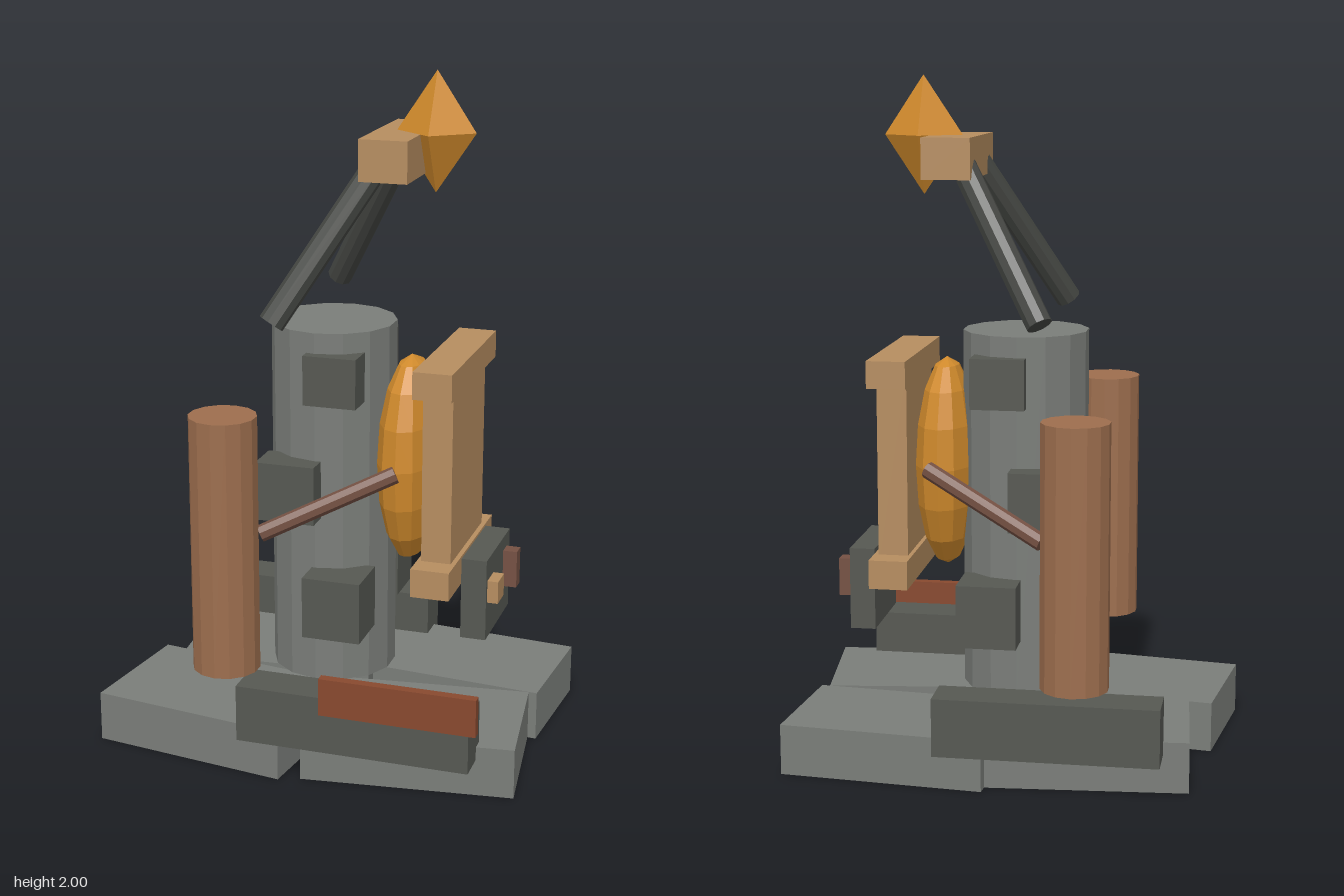
import * as THREE from 'three';

const mat = (name, color) => {
  const m = new THREE.MeshStandardMaterial({ color, flatShading: true });
  m.name = name;
  return m;
};

export function createModel() {
  const stone = mat('stone grey', 0x7a7d79);
  const darkStone = mat('dark stone', 0x565852);
  const iron = mat('iron black', 0x454743);
  const tan = mat('tan wood', 0xb68d60);
  const clay = mat('clay brown', 0x9d6e4e);
  const brown = mat('dark brown', 0x755143);
  const rust = mat('rust red', 0x88492f);
  const gold = mat('amber gold', 0xd08a2c);

  const model = new THREE.Group();
  const add = (name, geometry, material) => {
    const mesh = new THREE.Mesh(geometry, material);
    mesh.name = name;
    model.add(mesh);
    return mesh;
  };

  // Box given by its extents on each axis
  const box = (name, material, [x0, x1], [y0, y1], [z0, z1]) =>
    add(name, new THREE.BoxGeometry(x1 - x0, y1 - y0, z1 - z0), material)
      .position.set((x0 + x1) / 2, (y0 + y1) / 2, (z0 + z1) / 2);

  // Round bar between two points
  const bar = (name, material, a, b, radius, sides) => {
    const from = new THREE.Vector3(...a), to = new THREE.Vector3(...b);
    const dir = to.clone().sub(from);
    const mesh = add(name, new THREE.CylinderGeometry(radius, radius, dir.length(), sides), material);
    mesh.position.copy(from).add(to).multiplyScalar(0.5);
    mesh.quaternion.setFromUnitVectors(new THREE.Vector3(0, 1, 0), dir.normalize());
  };

  // Four crooked base slabs: x, z, width, depth, turn in degrees
  const slabs = [
    [-0.231, -0.183, 0.6, 0.4, 4.3],
    [0.323, -0.23, 0.6, 0.37, -4.7],
    [-0.316, 0.227, 0.6, 0.394, -8],
    [0.298, 0.209, 0.62, 0.39, 7],
  ];
  slabs.forEach(([x, z, w, d, turn]) => {
    const slab = add('baseSlab', new THREE.BoxGeometry(w, 0.15, d), stone);
    slab.position.set(x, 0.075, z);
    slab.rotation.y = THREE.MathUtils.degToRad(turn);
  });

  // Footing beams and the rust plank on the front one
  box('backBeam', darkStone, [-0.47, 0.175], [0.11, 0.28], [-0.473, -0.35]);
  box('frontBeam', darkStone, [-0.17, 0.52], [0.11, 0.28], [0.345, 0.47]);
  box('rustPlank', rust, [0.09, 0.547], [0.24, 0.352], [0.47, 0.498]);

  // Central pillar
  bar('pillar', stone, [-0.024, 0.2, 0], [-0.024, 1.267, 0], 0.185, 14);

  // Parts mirrored front and back
  for (const s of [1, -1]) {
    const blocks = [
      [[-0.05, 0.108], [1.06, 1.207], [0.11, 0.215]],
      [[-0.185, -0.007], [0.71, 0.885], [0.13, 0.248]],
      [[-0.035, 0.14], [0.37, 0.555], [0.12, 0.275]],
    ];
    blocks.forEach(([x, y, [z0, z1]]) =>
      box('pillarBlock', darkStone, x, y, s > 0 ? [z0, z1] : [-z1, -z0]));
    bar('sideColumn', clay, [-0.222, 0.31, s * 0.402], [-0.222, 1.07, s * 0.402], 0.098, 14);
    bar('armRod', brown, [-0.125, 0.717, s * 0.37], [0.23, 0.883, s * 0.222], 0.025, 8);
    bar('topStrut', iron, [-0.108, 1.32, s * 0.31], [0.15, 1.765, s * 0.11], 0.038, 10);
  }

  // Upright panel with caps
  box('panel', tan, [0.298, 0.386], [0.57, 1.16], [-0.183, 0.183]);
  box('panelTopCap', tan, [0.286, 0.4], [1.12, 1.2], [-0.255, 0.255]);
  box('panelBottomCap', tan, [0.286, 0.4], [0.53, 0.615], [-0.255, 0.255]);

  // Amber core between pillar and panel
  const core = add('amberCore', new THREE.SphereGeometry(1, 12, 8), gold);
  core.scale.set(0.092, 0.315, 0.17);
  core.position.set(0.213, 0.865, 0);

  // Latch block with two pegs
  box('latchBlock', darkStone, [0.408, 0.483], [0.375, 0.62], [-0.143, 0.143]);
  box('tanPeg', tan, [0.47, 0.515], [0.488, 0.555], [0.057, 0.13]);
  box('brownPeg', brown, [0.47, 0.525], [0.465, 0.578], [-0.107, -0.063]);

  // Crossbar and crystal at the top
  box('crossbar', tan, [0.107, 0.248], [1.71, 1.828], [-0.193, 0.193]);
  const crystal = add('crystal', new THREE.OctahedronGeometry(1), gold);
  crystal.scale.set(0.115, 0.172, 0.09);
  crystal.position.set(0.277, 1.828, 0);

  return model;
}
